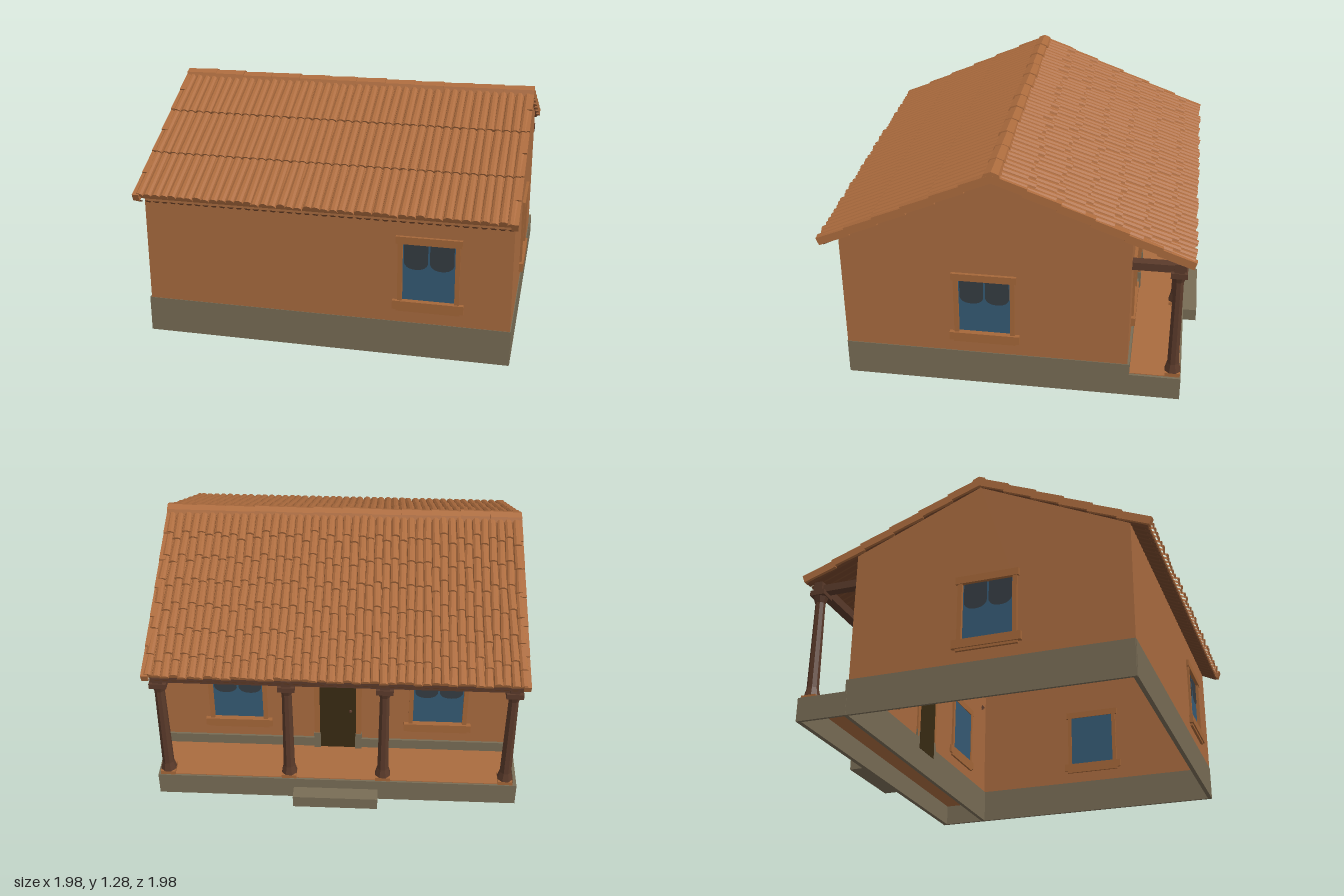
import * as THREE from 'three';
import { mergeGeometries } from 'three/addons/utils/BufferGeometryUtils.js';

const mat = (name, color, extra = {}) => {
  const m = new THREE.MeshStandardMaterial({ color, flatShading: true, ...extra });
  m.name = name;
  return m;
};
const DS = { side: THREE.DoubleSide };
const M = {
  plaster: mat('plaster', 0xa96b3f, DS),
  tile: mat('roofTile', 0xad6c3e),
  trim: mat('trim', 0xa56739),
  stone: mat('stone', 0x786c55),
  wood: mat('wood', 0x5a3a2a),
  glass: mat('glass', 0x355a74, DS),
  curtain: mat('curtain', 0x353c42, DS),
  door: mat('door', 0x382a12, DS),
  under: mat('roofUnderside', 0x74462a),
};

// small seeded generator for tile irregularity
let seed = 7;
const rnd = () => (seed = (seed * 16807) % 2147483647) / 2147483647;
const jit = (a) => (rnd() - 0.5) * 2 * a;

function add(parent, name, geo, material, x = 0, y = 0, z = 0) {
  const m = new THREE.Mesh(geo, material);
  m.name = name;
  m.position.set(x, y, z);
  parent.add(m);
  return m;
}
// box given by its limits
function box(parent, name, material, x0, x1, y0, y1, z0, z1) {
  return add(parent, name, new THREE.BoxGeometry(x1 - x0, y1 - y0, z1 - z0), material,
    (x0 + x1) / 2, (y0 + y1) / 2, (z0 + z1) / 2);
}
const rectPath = (cx, y0, y1, w) => new THREE.Path([[-1, y0], [1, y0], [1, y1], [-1, y1]]
  .map(([s, y]) => new THREE.Vector2(cx + s * w / 2, y)));

// thin wall with openings
function wall(parent, name, pts, holes) {
  const s = new THREE.Shape(pts.map((p) => new THREE.Vector2(...p)));
  s.holes.push(...holes);
  return add(parent, name, new THREE.ShapeGeometry(s), M.plaster);
}

// window facing +z, origin on the wall plane at ground level
function makeWindow() {
  const g = new THREE.Group();
  g.name = 'window';
  add(g, 'windowPane', new THREE.PlaneGeometry(0.28, 0.33), M.glass, 0, 0.48, -0.008);
  for (const s of [-1, 1]) {
    const c = new THREE.Shape();
    c.moveTo(-0.062, 0.08);
    c.lineTo(-0.062, -0.03);
    c.quadraticCurveTo(-0.05, -0.065, 0, -0.065);
    c.quadraticCurveTo(0.05, -0.065, 0.062, -0.03);
    c.lineTo(0.062, 0.08);
    add(g, 'curtain', new THREE.ShapeGeometry(c, 5), M.curtain, s * 0.067, 0.56, -0.003);
    box(g, 'windowJamb', M.trim, s * 0.148 - 0.012, s * 0.148 + 0.012, 0.31, 0.65, -0.012, 0.012);
  }
  box(g, 'lintel', M.trim, -0.17, 0.17, 0.64, 0.68, -0.012, 0.016);
  box(g, 'sill', M.trim, -0.185, 0.185, 0.275, 0.322, -0.012, 0.022);
  box(g, 'sillFoot', M.trim, -0.165, 0.165, 0.262, 0.275, -0.012, 0.014);
  return g;
}

// half-round tile: length along y, bulge towards +z
function halfTile(rTop, rBottom, len, height, sides = 5) {
  const g = new THREE.CylinderGeometry(rTop, rBottom, len, sides, 1, false, -Math.PI / 2, Math.PI);
  return g.scale(1, 1, height);
}

// one roof slope: local y runs up to the ridge, local z is outward
function makeSlope(name, run, drop, rows, stagger) {
  const g = new THREE.Group();
  g.name = name;
  const len = Math.hypot(run, drop), cols = 44, pitch = 1.96 / cols, step = len / rows;
  box(g, 'roofDeck', M.tile, -0.975, 0.975, -len + 0.015, 0, -0.02, 0.002);
  box(g, 'roofLining', M.under, -0.97, 0.97, -len + 0.025, 0, -0.028, -0.02);
  const tiles = [], ribs = [];
  for (let c = 0; c < cols; c++) {
    const x = (c + 0.5 - cols / 2) * pitch;
    const shift = stagger ? (c % 2) * 0.04 + jit(0.02) : 0;
    for (let r = 0; r < rows; r++) {
      const top = r ? -r * step - shift : 0;
      const bottom = r === rows - 1 ? -len + jit(0.008) : -(r + 1) * step - shift - 0.01;
      const t = halfTile(0.021, 0.0245, top - bottom, 0.85);
      t.rotateX(stagger ? -0.055 : -0.015).rotateZ(jit(stagger ? 0.035 : 0.015));
      t.translate(x + jit(0.002), (top + bottom) / 2, stagger ? 0.004 : 0.002);
      tiles.push(t);
    }
    // channel tiles showing below the deck
    const rib = halfTile(0.018, 0.018, len - 0.02, 0.7, 3);
    ribs.push(rib.rotateY(Math.PI).translate(x, -len / 2 - 0.008, -0.022));
  }
  add(g, 'roofTiles', mergeGeometries(tiles), M.tile);
  add(g, 'channelTiles', mergeGeometries(ribs), M.under);
  // overlapping verge tiles along both gables
  const n = 6, vl = len / n;
  for (const s of [-1, 1]) for (let i = 0; i < n; i++) {
    const v = add(g, 'vergeTile', new THREE.BoxGeometry(0.035, vl + 0.012, 0.042), M.tile,
      s * 0.973, -(i + 0.5) * vl, -0.003);
    v.rotation.x = -0.05;
  }
  g.rotation.x = -Math.atan2(run, drop);
  return g;
}

export function createModel() {
  seed = 7;
  const house = new THREE.Group();
  house.name = 'house';
  const W = 0.97, ZF = 0.87, ZB = -0.63;

  // stone base ring, porch edge and step
  box(house, 'frontBase', M.stone, -W, W, 0, 0.195, ZF - 0.02, ZF + 0.003);
  box(house, 'backBase', M.stone, -W, W, 0, 0.195, ZB - 0.012, ZB + 0.01);
  for (const s of [-1, 1]) {
    box(house, 'sideBase', M.stone, s * W - 0.01, s * W + 0.004, 0, 0.195, ZB - 0.01, ZF);
    box(house, 'porchSide', M.stone, s * W - 0.012, s * W + 0.004, 0, 0.13, -0.91, ZB);
  }
  box(house, 'porchEdge', M.stone, -W, W, 0, 0.13, -0.91, -0.885);
  box(house, 'porchFloor', M.plaster, -W + 0.01, W - 0.01, 0.122, 0.134, -0.9, ZB);
  box(house, 'step', M.stone, -0.23, 0.23, 0, 0.07, -0.988, -0.91);

  // walls
  const hole = (x) => rectPath(x, 0.32, 0.64, 0.28);
  wall(house, 'frontWall', [[-W, 0.19], [W, 0.19], [W, 0.845], [-W, 0.845]], [hole(0.545)]).position.z = ZF;
  wall(house, 'backWall', [[-W, 0.19], [W, 0.19], [W, 0.935], [-W, 0.935]],
    [hole(-0.55), hole(0.55), rectPath(0, 0.2, 0.68, 0.2)]).position.z = ZB;
  for (const s of [-1, 1]) {
    const w = wall(house, 'gableWall',
      [[-ZF, 0.19], [-ZB, 0.19], [-ZB, 0.935], [-0.07, 1.222], [-ZF, 0.845]], [hole(-0.12)]);
    w.rotation.y = Math.PI / 2;
    w.position.x = s * W;
  }

  // windows: x, z, turn
  for (const [x, z, turn] of [[0.545, ZF, 0], [W, 0.12, 0.5], [-W, 0.12, -0.5], [0.55, ZB, 1], [-0.55, ZB, 1]]) {
    const w = makeWindow();
    w.position.set(x, 0, z);
    w.rotation.y = turn * Math.PI;
    house.add(w);
  }

  // door with frame
  box(house, 'door', M.door, -0.1, 0.1, 0.134, 0.68, ZB - 0.014, ZB + 0.012);
  for (const s of [-1, 1]) {
    box(house, 'doorJamb', M.trim, s * 0.115 - 0.015, s * 0.115 + 0.015, 0.2, 0.69, ZB - 0.02, ZB + 0.01);
    box(house, 'doorJambFoot', M.stone, s * 0.115 - 0.018, s * 0.115 + 0.018, 0.134, 0.24, ZB - 0.024, ZB + 0.01);
  }
  box(house, 'doorLintel', M.trim, -0.15, 0.15, 0.68, 0.72, ZB - 0.022, ZB + 0.01);
  const knob = add(house, 'doorKnob', new THREE.SphereGeometry(0.01, 6, 4), M.wood, -0.07, 0.4, ZB - 0.018);
  knob.scale.z = 0.8;

  // porch columns and beams
  const ZC = -0.865;
  for (const x of [-0.92, -0.255, 0.255, 0.92]) {
    const c = new THREE.Group();
    c.name = 'column';
    c.position.set(x, 0, ZC);
    box(c, 'plinth', M.trim, -0.04, 0.04, 0.13, 0.152, -0.04, 0.04);
    const part = (name, rt, rb, y0, y1) => add(c, name,
      new THREE.CylinderGeometry(rt, rb, y1 - y0, 8).rotateY(Math.PI / 8), M.wood, 0, (y0 + y1) / 2, 0);
    part('columnFoot', 0.032, 0.044, 0.152, 0.2);
    part('columnShaft', 0.027, 0.032, 0.2, 0.7);
    part('columnNeck', 0.042, 0.028, 0.7, 0.74);
    box(c, 'capital', M.wood, -0.045, 0.045, 0.735, 0.765, -0.042, 0.042);
    house.add(c);
    box(house, 'crossBeam', M.wood, x - 0.025, x + 0.025, 0.758, 0.8, -0.9, ZB);
  }
  box(house, 'porchBeam', M.wood, -0.96, 0.96, 0.765, 0.815, ZC - 0.025, ZC + 0.025);

  // roof slopes meeting at the ridge
  const front = makeSlope('frontSlope', 0.9, 0.43, 3, false);
  const backTurn = new THREE.Group();
  backTurn.name = 'backRoof';
  backTurn.rotation.y = Math.PI;
  backTurn.add(makeSlope('backSlope', 1.005, 0.415, 7, true));
  for (const r of [front, backTurn]) {
    r.position.set(0, 1.245, 0.07);
    house.add(r);
  }

  // ridge tiles
  const caps = [];
  const n = 12, L = 1.97 / n;
  for (let i = 0; i < n; i++) {
    const g = halfTile(0.046, 0.052, L + 0.01, 0.95, 4);
    g.rotateX(-Math.PI / 2).rotateY(Math.PI / 2);
    caps.push(g.translate((i + 0.5 - n / 2) * L, 1.226 + jit(0.002), 0.07 + jit(0.003)));
  }
  add(house, 'ridgeTiles', mergeGeometries(caps), M.tile);
  return house;
}
